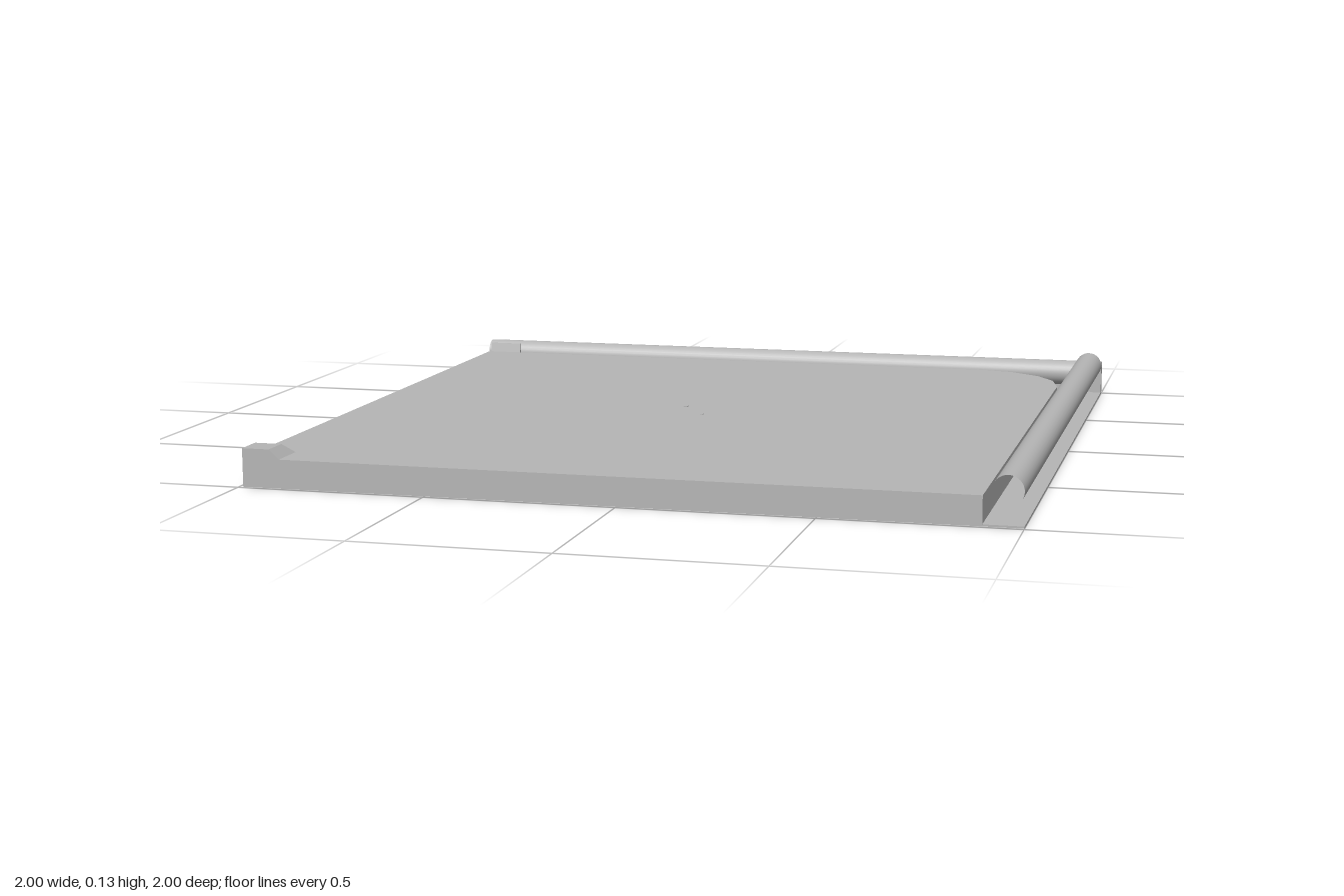
import * as THREE from 'three';

export function createModel() {
  const model = new THREE.Group();
  model.name = 'railedTray';
  const grey = new THREE.MeshStandardMaterial({ color: 0xb6b6b6 });
  grey.name = 'light grey';

  const add = (name, geometry) => {
    const mesh = new THREE.Mesh(geometry, grey);
    mesh.name = name;
    model.add(mesh);
    return mesh;
  };

  // Box given by its limits; the top face may be pulled in on the +x, -z and +z sides
  const block = (name, [x0, x1], [y0, y1], [z0, z1], inset = {}) => {
    const { right = 0, back = 0, front = 0 } = inset;
    const g = new THREE.BoxGeometry(x1 - x0, y1 - y0, z1 - z0).toNonIndexed();
    g.translate((x0 + x1) / 2, (y0 + y1) / 2, (z0 + z1) / 2);
    const p = g.attributes.position;
    for (let i = 0; i < p.count; i++) {
      if (p.getY(i) < (y0 + y1) / 2) continue;
      if (p.getX(i) > (x0 + x1) / 2) p.setX(i, x1 - right);
      p.setZ(i, p.getZ(i) > (z0 + z1) / 2 ? z1 - front : z0 + back);
    }
    g.computeVertexNormals();
    return add(name, g);
  };

  // Thin floor under everything
  block('floorPlate', [-0.99, 1], [0, 0.005], [-1, 0.99]);

  // Raised deck with one faceted rounded corner (shape y is -z)
  const deck = new THREE.Shape([
    [-0.99, -0.99], [0.9, -0.99], [0.9, 0.63], [0.875, 0.74],
    [0.82, 0.82], [0.73, 0.88], [0.64, 0.9], [-0.99, 0.9],
  ].map(([x, y]) => new THREE.Vector2(x, y)));
  const deckGeometry = new THREE.ExtrudeGeometry(deck, { depth: 0.07, bevelEnabled: false });
  deckGeometry.rotateX(-Math.PI / 2).translate(0, 0.005, 0);
  add('deck', deckGeometry);

  // Back wall and its corner post
  block('backWall', [-0.99, 0.975], [0.005, 0.1], [-1, -0.986]);
  block('cornerPost', [0.975, 1], [0.005, 0.1], [-1, -0.975]);

  // Sloped corner blocks on the open side
  block('frontCornerBlock', [-0.99, -0.89], [0.075, 0.1], [0.885, 0.99], { right: 0.027, back: 0.027 });
  block('backCornerLip', [-0.99, -0.89], [0.005, 0.1], [-0.925, -0.9], { front: 0.022 });

  // Open-ended tubular rails lying in the groove
  const rail = (name, radius, length) =>
    add(name, new THREE.CylinderGeometry(radius, radius, length, 32, 1, true));
  const backRail = rail('backRail', 0.0375, 1.97);
  backRail.rotation.z = Math.PI / 2;
  backRail.position.set(-0.015, 0.0675, -0.962);
  const sideRail = rail('sideRail', 0.039, 1.975);
  sideRail.rotation.x = Math.PI / 2;
  sideRail.position.set(0.961, 0.09, 0.0125);

  // Tiny marks near the middle of the deck
  [[-0.09, -0.025, 0.006], [-0.015, 0.09, 0.004]].forEach(([x, z, r]) => {
    block('deckMark', [x - r, x + r], [0.075, 0.077], [z - r, z + r]);
  });

  return model;
}
